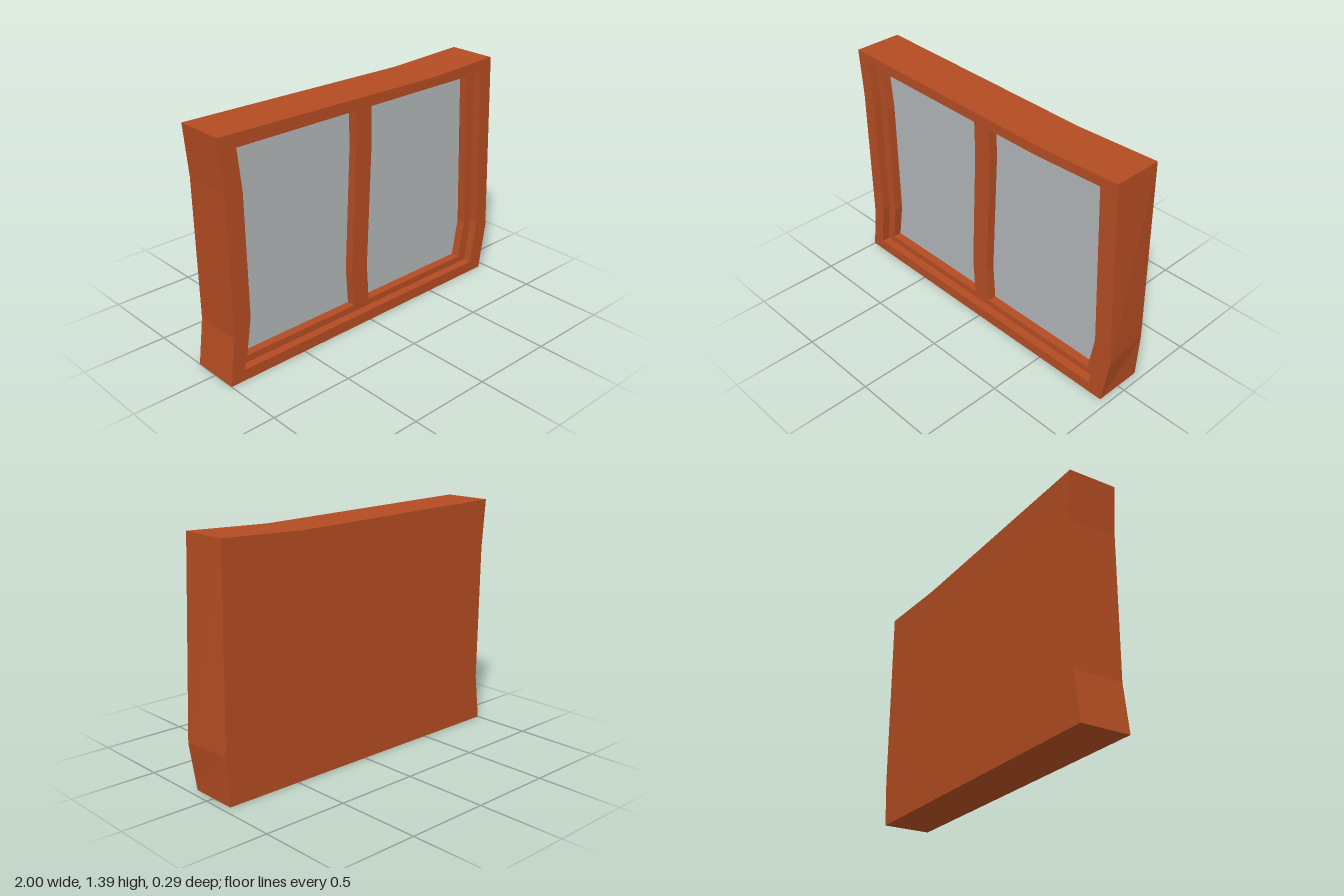
import * as THREE from 'three';

const outer = [[-1, 0], [0.955, 0], [1, 0.28], [0.955, 1.39], [0.45, 1.37], [-1, 1.39], [-0.975, 1.1], [-0.965, 0.28]];
const recess = [[-0.91, 0.065], [0.87, 0.065], [0.91, 0.33], [0.87, 1.33], [0.45, 1.314], [-0.91, 1.33], [-0.89, 1.08], [-0.88, 0.33]];
const panes = {
  rightPane: [[-0.855, 0.105], [-0.085, 0.105], [-0.1, 0.33], [-0.07, 1.08], [-0.075, 1.29], [-0.855, 1.29], [-0.83, 1.05], [-0.82, 0.33]],
  leftPane: [[0.03, 0.105], [0.81, 0.105], [0.85, 0.33], [0.81, 1.29], [0.04, 1.29], [0.045, 1.08], [0.015, 0.33]],
};

const toPoints = (list) => list.map(([x, y]) => new THREE.Vector2(x, y));

// Flat slab between two depths, with optional holes
function slab(outline, holes, back, front) {
  const shape = new THREE.Shape(toPoints(outline));
  for (const hole of holes) shape.holes.push(new THREE.Path(toPoints(hole)));
  const geometry = new THREE.ExtrudeGeometry(shape, { depth: front - back, bevelEnabled: false });
  return geometry.translate(0, 0, back);
}

export function createModel() {
  const group = new THREE.Group();
  const wood = new THREE.MeshStandardMaterial({ color: 0xb34c22 });
  wood.name = 'rust painted wood';
  const glass = new THREE.MeshStandardMaterial({ color: 0xb0b5b7 });
  glass.name = 'grey glass';

  const add = (name, geometry, material) => {
    const mesh = new THREE.Mesh(geometry, material);
    mesh.name = name;
    group.add(mesh);
  };

  // Crooked outer frame, whose side bulge is smaller at the back
  const frame = slab(outer, [recess], -0.145, 0.145);
  const pos = frame.attributes.position;
  for (let i = 0; i < pos.count; i++) {
    if (pos.getZ(i) < 0 && pos.getX(i) > 0.97) pos.setX(i, 0.97);
  }
  frame.computeVertexNormals();
  add('outerFrame', frame, wood);

  // Solid backing, then the set-back sash with its centre mullion
  add('backPanel', slab(recess, [], -0.145, 0.037), wood);
  add('sash', slab(recess, Object.values(panes), 0.037, 0.095), wood);

  // Glass at the bottom of each opening
  for (const [name, outline] of Object.entries(panes)) {
    add(name, slab(outline, [], 0.036, 0.042), glass);
  }

  // Sliver of the sash rail showing along the sagging head
  add('headLip', slab([[-0.83, 1.328], [0.41, 1.314], [0.41, 1.33], [-0.83, 1.33]], [], 0.143, 0.146), wood);
  return group;
}
